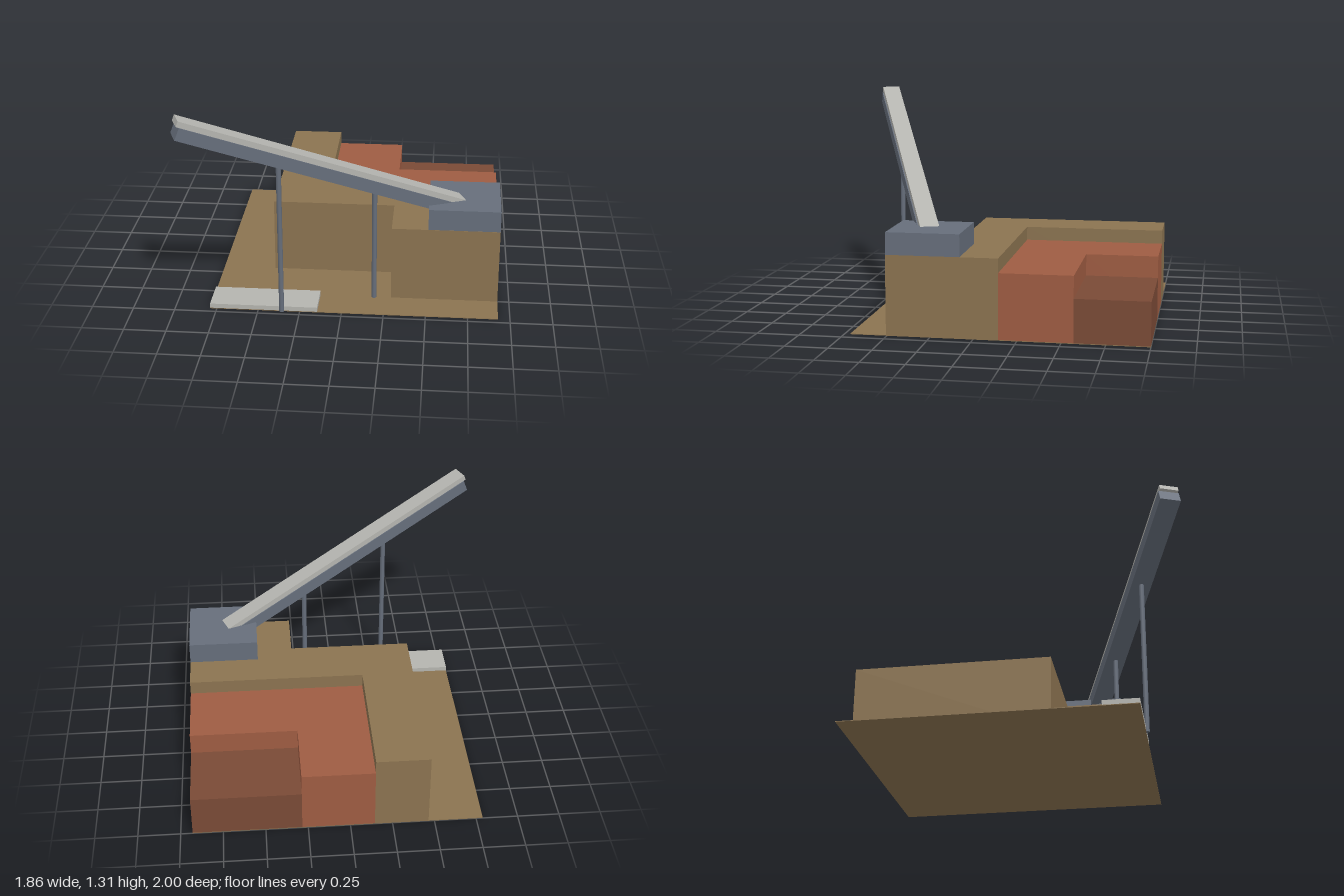
import * as THREE from 'three';

const paint = (name, color) => Object.assign(new THREE.MeshStandardMaterial({ color }), { name });

export function createModel() {
  const model = new THREE.Group();
  model.name = 'quarryWithConveyor';

  const earth = paint('earthTan', 0x8b7350);
  const brick = paint('brickRed', 0x9e5c42);
  const deepBrick = paint('darkBrick', 0x7a4a36);
  const steel = paint('steelBlue', 0x666e7b);
  const concrete = paint('concreteGrey', 0xb4b4af);

  const add = (parent, name, geometry, material) => {
    const mesh = new THREE.Mesh(geometry, material);
    mesh.name = name;
    parent.add(mesh);
    return mesh;
  };

  // Box given by its limits on each axis
  const block = (parent, name, material, [x0, x1], [y0, y1], [z0, z1]) => {
    const geometry = new THREE.BoxGeometry(x1 - x0, y1 - y0, z1 - z0);
    geometry.translate((x0 + x1) / 2, (y0 + y1) / 2, (z0 + z1) / 2);
    return add(parent, name, geometry, material);
  };

  // Upright prism over a plan outline of [x, z] corners
  const prism = (name, material, plan, y0, y1) => {
    const shape = new THREE.Shape(plan.map(([x, z]) => new THREE.Vector2(x, -z)));
    const geometry = new THREE.ExtrudeGeometry(shape, { depth: y1 - y0, bevelEnabled: false });
    geometry.rotateX(-Math.PI / 2).translate(0, y0, 0);
    return add(model, name, geometry, material);
  };

  // Ground slab and loading pad
  const floor = 0.004;
  block(model, 'ground', earth, [-0.79, 0.93], [0, floor], [-1, 0.715]);
  block(model, 'loadingPad', concrete, [-0.79, -0.145], [floor, 0.032], [0.505, 0.715]);

  // Stepped terraces, tallest first
  prism('upperTerrace', earth, [
    [-0.465, -1], [-0.145, -1], [-0.145, -0.145], [0.93, -0.145],
    [0.93, 0.505], [0.285, 0.505], [0.285, 0.18], [-0.465, 0.18],
  ], floor, 0.47);
  prism('middleTerrace', brick, [
    [-0.145, -1], [0.285, -1], [0.285, -0.57], [0.93, -0.57],
    [0.93, -0.145], [-0.145, -0.145],
  ], floor, 0.387);
  block(model, 'lowerTerrace', deepBrick, [0.285, 0.93], [floor, 0.257], [-1, -0.57]);

  // Housing that receives the lower end of the conveyor
  block(model, 'hopperHousing', steel, [0.503, 0.93], [0.47, 0.6], [0.075, 0.503]);

  // Sloping conveyor: local x runs down the slope from the high end
  const conveyor = new THREE.Group();
  conveyor.name = 'conveyor';
  conveyor.position.set(-0.908, 1.2, 0.94);
  conveyor.rotation.set(0, 0.3805, -0.3927, 'YZX');
  block(conveyor, 'conveyorBeam', steel, [0, 1.92], [0, 0.075], [-0.062, 0.062]);
  block(conveyor, 'conveyorBelt', concrete, [-0.018, 1.92], [0.075, 0.109], [-0.056, 0.056]);
  model.add(conveyor);

  // Posts under the conveyor
  for (const [x, z, top] of [[-0.357, 0.72, 0.965], [0.182, 0.505, 0.72]]) {
    const post = add(model, 'conveyorPost',
      new THREE.CylinderGeometry(0.015, 0.015, top - floor, 8), steel);
    post.position.set(x, (top + floor) / 2, z);
  }

  return model;
}
